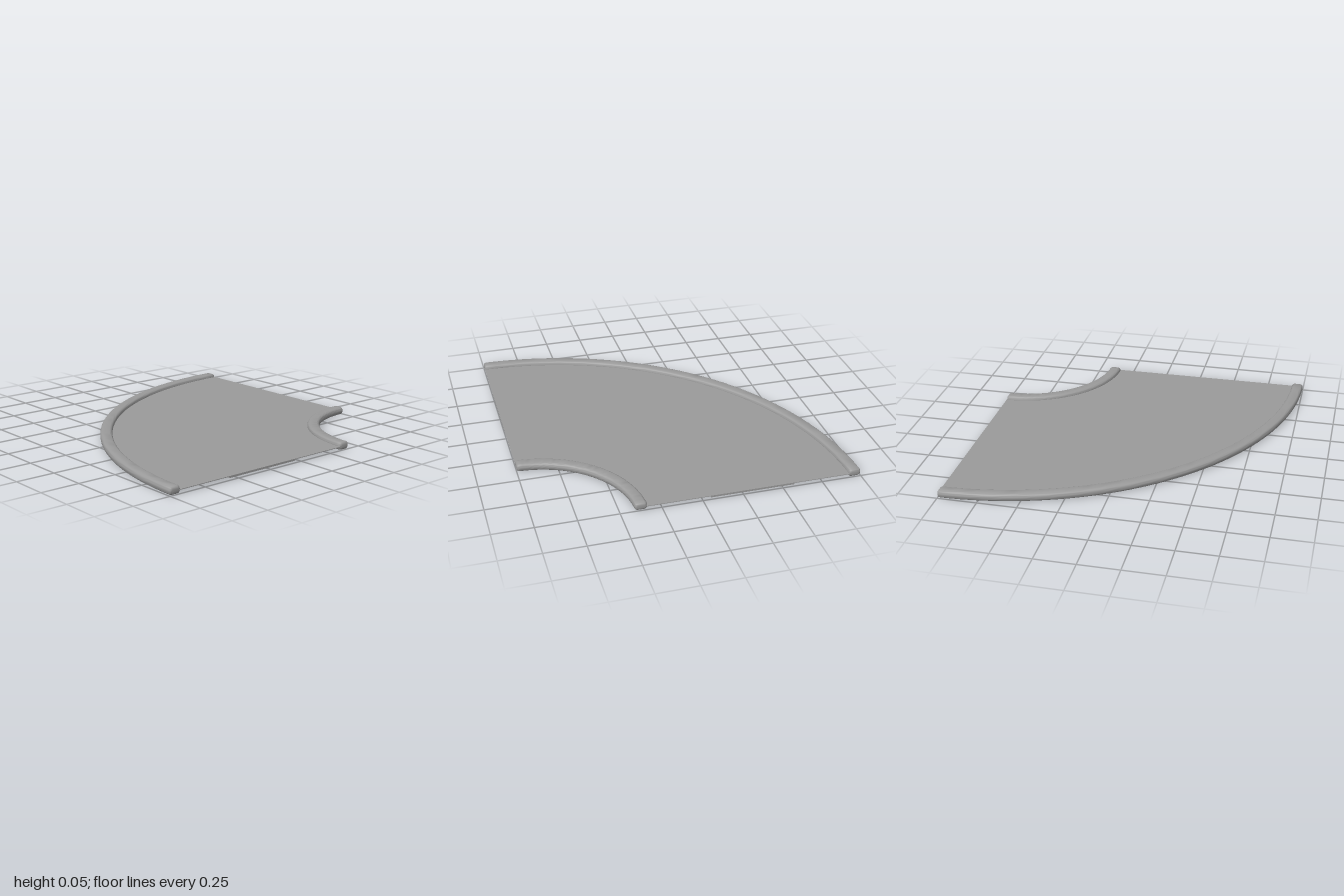
import * as THREE from 'three';
import { toCreasedNormals } from 'three/addons/utils/BufferGeometryUtils.js';

const CENTRE = 1;            // the bend turns about x = 1, z = 1
const HEIGHT = 0.05;
const ARC_STEPS = 48;
const material = new THREE.MeshStandardMaterial({ color: 0x9b9b9b });

// Rounded bar swept along a quarter circle, with softened, closed ends
function rail(name, innerRadius, outerRadius) {
  const mid = (innerRadius + outerRadius) / 2;
  const halfW = (outerRadius - innerRadius) / 2, halfH = HEIGHT / 2;
  const corner = 0.021, bevel = 0.017, sides = 20;

  // Stations along the bar: angle, inset of the section, overall scale
  const ends = [[0, bevel, 0], [0, bevel, 1]];
  for (let i = 1; i <= 4; i++) {
    const q = i / 4 * Math.PI / 2;
    ends.push([bevel * (1 - Math.cos(q)), bevel * (1 - Math.sin(q)), 1]);
  }
  const stations = ends.map(([d, inset, k]) => [d / mid, inset, k]);
  const a0 = bevel / mid, a1 = Math.PI / 2 - a0;
  for (let i = 1; i < ARC_STEPS; i++) stations.push([a0 + (a1 - a0) * i / ARC_STEPS, 0, 1]);
  for (const [d, inset, k] of [...ends].reverse()) stations.push([Math.PI / 2 - d / mid, inset, k]);

  const geometry = new THREE.PlaneGeometry(1, 1, stations.length - 1, sides);
  const { position, uv } = geometry.attributes;
  for (let i = 0; i < position.count; i++) {
    const [a, inset, k] = stations[Math.round(uv.getX(i) * (stations.length - 1))];
    const t = -(Math.round(uv.getY(i) * sides) + 0.5) / sides * Math.PI * 2;
    const c = Math.cos(t), s = Math.sin(t);
    const r = mid + k * (Math.sign(c) * (halfW - corner) + c * (corner - inset));
    const y = halfH + k * (Math.sign(s) * (halfH - corner) + s * (corner - inset));
    position.setXYZ(i, CENTRE - r * Math.cos(a), y, CENTRE - r * Math.sin(a));
  }
  const mesh = new THREE.Mesh(toCreasedNormals(geometry, 0.8), material);
  mesh.name = name;
  return mesh;
}

// Flat quarter-ring plate
function plate(name, innerRadius, outerRadius, bottom, top) {
  const shape = new THREE.Shape();
  shape.absarc(CENTRE, -CENTRE, outerRadius, Math.PI, Math.PI / 2, true);
  shape.absarc(CENTRE, -CENTRE, innerRadius, Math.PI / 2, Math.PI, false);
  shape.closePath();
  const geometry = new THREE.ExtrudeGeometry(shape, {
    depth: top - bottom, bevelEnabled: false, curveSegments: ARC_STEPS,
  });
  geometry.rotateX(-Math.PI / 2).translate(0, bottom, 0);
  const mesh = new THREE.Mesh(toCreasedNormals(geometry, 0.6), material);
  mesh.name = name;
  return mesh;
}

export function createModel() {
  const group = new THREE.Group();
  group.name = 'curvedTrack';
  group.add(
    rail('outerRail', 1.923, 2),
    rail('innerRail', 0.587, 0.665),
    plate('deck', 0.63, 1.96, 0.022, 0.026),
    plate('undersideBand', 1.05, 1.57, 0.014, 0.022),
  );
  return group;
}
